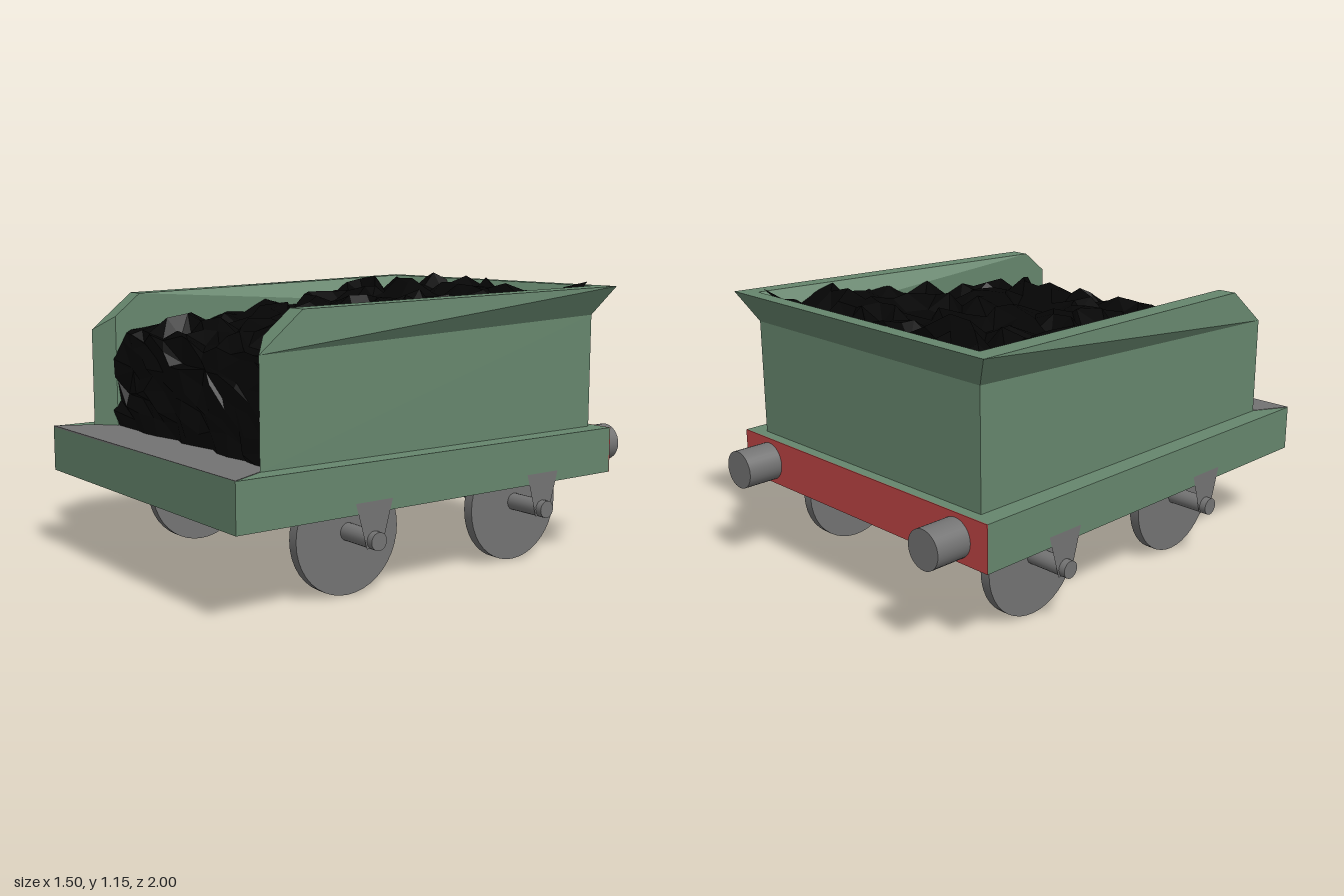
import * as THREE from 'three';

export function createModel() {
  const root = new THREE.Group();
  const mat = (name, color, extra = {}) => {
    const m = new THREE.MeshStandardMaterial({ color, ...extra });
    m.name = name;
    return m;
  };
  const green = mat('green paint', 0x66866d);
  const grey = mat('grey metal', 0x737373, { side: THREE.DoubleSide });
  const red = mat('red paint', 0xbf4444);
  const black = mat('coal black', 0x050505, { side: THREE.DoubleSide, flatShading: true });

  const add = (name, geo, material, x = 0, y = 0, z = 0) => {
    const m = new THREE.Mesh(geo, material);
    m.name = name;
    m.position.set(x, y, z);
    root.add(m);
  };
  const poly = (pts) => new THREE.Shape(pts.map((p) => new THREE.Vector2(p[0], p[1])));
  const extrude = (shape, depth) =>
    new THREE.ExtrudeGeometry(shape, { depth, bevelEnabled: false });

  // Hollow underframe: a ring outlined in x and -z, raised along y
  const ring = poly([[-0.72, -1], [0.72, -1], [0.72, 0.845], [-0.72, 0.845]]);
  ring.holes.push(poly([[-0.57, -0.84], [-0.57, 0.72], [0.57, 0.72], [0.57, -0.84]]));
  add('underframe', extrude(ring, 0.188).rotateX(-Math.PI / 2), green, 0, 0.347, 0);

  // Thin deck plate, mitred towards the front corners
  const deck = poly([[-0.72, -1], [0.72, -1], [0.64, -0.85], [0.58, -0.78], [0.58, 0.74],
    [-0.58, 0.74], [-0.58, -0.78], [-0.64, -0.85]]);
  add('deck', extrude(deck, 0.006).rotateX(-Math.PI / 2), grey, 0, 0.531, 0);

  // Red rear beam face and its buffers
  add('rearBeam', new THREE.BoxGeometry(1.44, 0.188, 0.004), red, 0, 0.441, -0.846);
  for (const s of [-1, 1]) {
    add('buffer', new THREE.CylinderGeometry(0.078, 0.078, 0.155, 32).rotateX(Math.PI / 2),
      grey, s * 0.557, 0.438, -0.9225);
  }

  // Bunker walls: sections run outer bottom, fold, top, then inner top, fold, bottom.
  // The front end is mitred; the crown raises its top edge; the back corner flares out.
  const front = [[0.64, 0.535, 0.85], [0.64, 0.94, 0.85], [0.64, 0.94, 0.85],
    [0.56, 0.997, 0.78], [0.56, 0.997, 0.78], [0.56, 0.535, 0.78]];
  const crown = front.map((p) => [...p]);
  crown[2] = [0.64, 1.09, 0.665];
  crown[3] = [0.56, 1.09, 0.665];
  const back = [[0.64, 0.535, -0.8], [0.64, 1.005, -0.8], [0.72, 1.125, -0.86],
    [0.64, 1.125, -0.8], [0.56, 1.005, -0.72], [0.56, 0.535, -0.72]];
  const mirror = ([x, y, z]) => [-x, y, z];
  const verts = [];
  const quad = (a, b, c, d) => verts.push(...a, ...b, ...c, ...a, ...c, ...d);
  const sideQuad = (a, b, c, d) => {
    quad(a, b, c, d);
    const [ma, mb, mc, md] = [a, b, c, d].map(mirror);
    verts.push(...ma, ...mc, ...mb, ...ma, ...md, ...mc);
  };
  for (let j = 0; j < 6; j++) {
    const k = (j + 1) % 6;
    if (j === 2) sideQuad(front[j], crown[j], crown[k], front[k]);
    sideQuad(crown[j], back[j], back[k], crown[k]);
    quad(back[j], mirror(back[j]), mirror(back[k]), back[k]);
  }
  sideQuad(front[0], front[1], front[4], front[5]);
  const walls = new THREE.BufferGeometry();
  walls.setAttribute('position', new THREE.Float32BufferAttribute(verts, 3));
  walls.computeVertexNormals();
  add('bunkerWalls', walls, green);

  // Coal heap: a jittered sheet with an upright front, rising gently to the back
  let seed = 11;
  const rand = () => {
    seed = (seed * 16807) % 2147483647;
    return seed / 2147483647 - 0.5;
  };
  const profile = [[0.78, 0.53], [0.78, 0.67], [0.77, 0.81], [0.75, 0.93], [0.6, 0.96],
    [0.35, 0.98], [0.1, 1.01], [-0.15, 1.04], [-0.4, 1.07], [-0.6, 1.09], [-0.79, 1.1]];
  const NX = 12, NZ = 24;
  const coal = new THREE.PlaneGeometry(1, 1, NX, NZ);
  const p = coal.attributes.position;
  for (let r = 0; r <= NZ; r++) {
    const t = (r / NZ) * (profile.length - 1);
    const k = Math.min(Math.floor(t), profile.length - 2);
    const z = THREE.MathUtils.lerp(profile[k][0], profile[k + 1][0], t - k);
    const y = THREE.MathUtils.lerp(profile[k][1], profile[k + 1][1], t - k);
    const half = 0.56 + 0.07 * THREE.MathUtils.clamp((0.1 - z) / 0.9, 0, 1);
    // the heap has slumped away from the left wall
    const slump = 0.06 * THREE.MathUtils.clamp(Math.min(z / 0.18, (0.74 - z) / 0.24), 0, 1);
    for (let c = 0; c <= NX; c++) {
      const edge = c === 0 || c === NX;
      const x = (c / NX * 2 - 1) * half + rand() * (edge ? 0.02 : 0.06);
      p.setXYZ(r * (NX + 1) + c, c === NX ? x - slump : x,
        y + rand() * (r === 0 ? 0.02 : z > 0.7 ? 0.06 : 0.1),
        z + rand() * 0.045);
    }
  }
  // rows run front to back, so flip the faces to look upward
  const idx = coal.index.array;
  for (let i = 0; i < idx.length; i += 3) [idx[i], idx[i + 1]] = [idx[i + 1], idx[i]];
  coal.computeVertexNormals();
  add('coal', coal, black);

  // Wheelsets with axles and flat hanger plates
  const hanger = poly([[-0.085, 0.39], [-0.035, 0.215], [0.035, 0.215], [0.085, 0.39]]);
  for (const z of [0.41, -0.45]) {
    add('axle', new THREE.CylinderGeometry(0.035, 0.035, 1.5, 20).rotateZ(Math.PI / 2),
      grey, 0, 0.244, z);
    for (const s of [-1, 1]) {
      add('wheel', new THREE.CylinderGeometry(0.236, 0.236, 0.044, 40).rotateZ(Math.PI / 2),
        grey, s * 0.539, 0.236, z);
      add('axleHanger', new THREE.ShapeGeometry(hanger).rotateY(s * Math.PI / 2),
        grey, s * 0.722, 0, z);
    }
  }
  return root;
}
